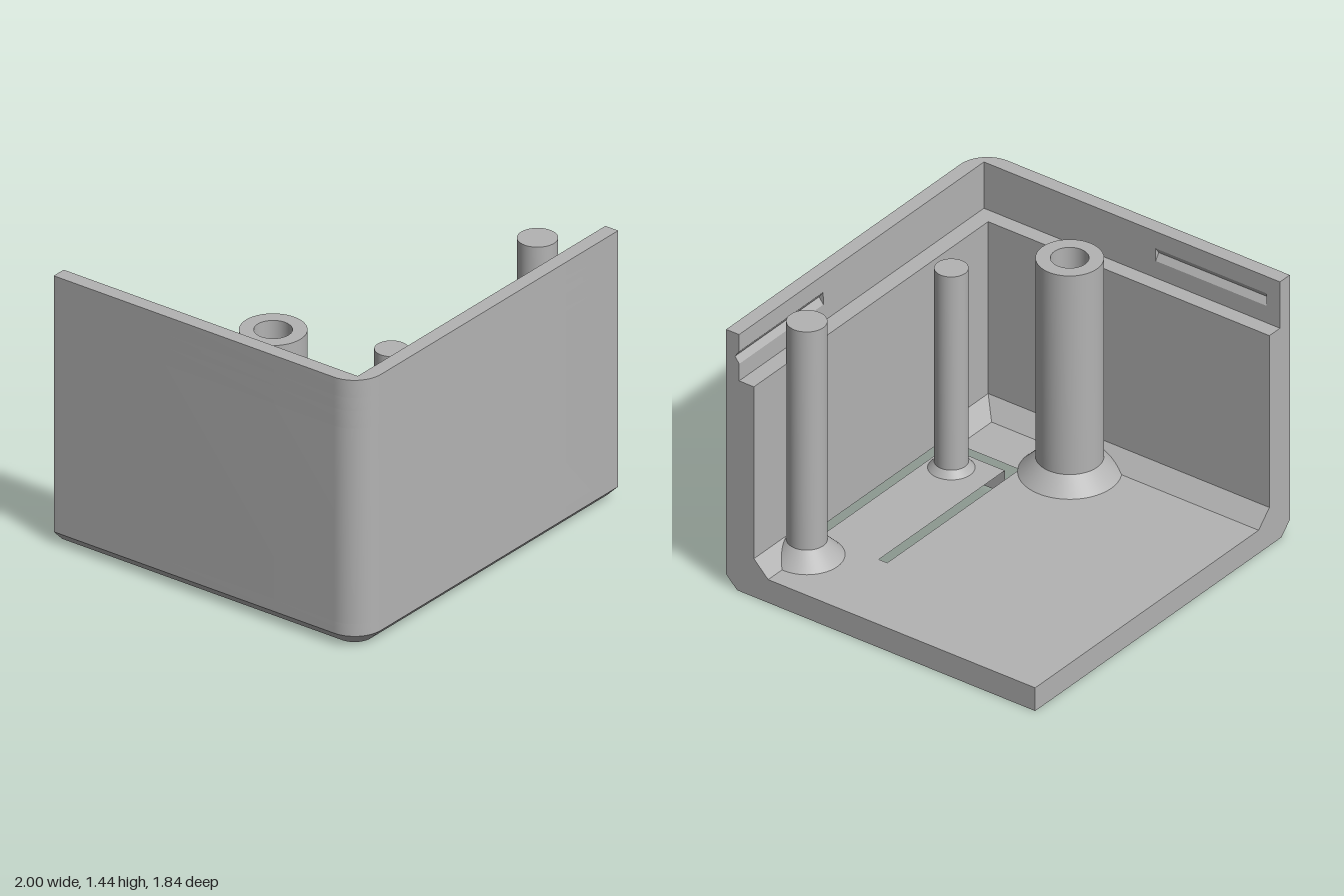
import * as THREE from 'three';
import { toCreasedNormals } from 'three/addons/utils/BufferGeometryUtils.js';

export function createModel() {
  const group = new THREE.Group();
  const grey = new THREE.MeshStandardMaterial({ color: 0xb3b3b3 });
  const FLOOR = 0.13, CHAMFER = 0.065, STEP = 1.18, TOP = 1.44, BACK = -0.92;
  const CX = -0.84, CZ = 0.76, R = 0.16; // centre and radius of the rounded corner

  const add = (name, geometry) => {
    const mesh = new THREE.Mesh(toCreasedNormals(geometry, 0.5), grey);
    mesh.name = name;
    group.add(mesh);
    return mesh;
  };

  // Extrudes a plan outline of [x, z] points from y0 to y1; rule may move vertices
  const plan = (pts) => pts.map(([x, z]) => new THREE.Vector2(x, -z));
  const slab = (pts, y0, y1, { holes = [], steps = 1, rule } = {}) => {
    const shape = new THREE.Shape(plan(pts));
    shape.holes = holes.map((h) => new THREE.Path(plan(h)));
    const g = new THREE.ExtrudeGeometry(shape, { depth: y1 - y0, steps, bevelEnabled: false });
    g.rotateX(-Math.PI / 2).translate(0, y0, 0);
    if (rule) {
      const p = g.attributes.position, v = new THREE.Vector3();
      for (let i = 0; i < p.count; i++) {
        rule(v.fromBufferAttribute(p, i));
        p.setXYZ(i, v.x, v.y, v.z);
      }
    }
    return g;
  };

  const circle = (cx, cz, r, n = 48) => Array.from({ length: n }, (_, i) => {
    const a = (i / n) * Math.PI * 2;
    return [cx + r * Math.cos(a), cz + r * Math.sin(a)];
  });

  // Outer edge along the front, round the corner and along the side
  const outer = [[1, 0.92]];
  for (let i = 0; i <= 14; i++) {
    const a = Math.PI / 2 + (i / 14) * Math.PI / 2;
    outer.push([CX + R * Math.cos(a), CZ + R * Math.sin(a)]);
  }
  outer.push([-1, BACK]);

  // Floor with spring tongue slot, screw hole and button hole; lower edge chamfered
  const slot = [[-0.5, 0.31], [0.54, 0.31], [0.54, 0.36], [-0.45, 0.36],
    [-0.45, 0.705], [0.54, 0.705], [0.54, 0.755], [-0.5, 0.755]];
  add('floor', slab([...outer, [1, BACK]], 0, FLOOR, {
    holes: [slot, circle(-0.63, 0.11, 0.092), circle(-0.32, 0.58, 0.072)],
    steps: 2,
    rule: (v) => {
      if (v.y > 0.001) return;
      const dx = Math.min(0, v.x - CX), dz = Math.max(0, v.z - CZ), d = Math.hypot(dx, dz);
      const k = d > R - CHAMFER ? (R - CHAMFER) / d : 1;
      v.x += dx * (k - 1);
      v.z += dz * (k - 1);
    },
  }));

  // Thick lower walls
  add('lowerWalls', slab([...outer, [-0.84, BACK], [-0.84, 0.755], [1, 0.755]], FLOOR, STEP));

  // Thin lip, with V-shaped snap grooves in its middle band
  const LX = -0.923, LZ = 0.843, G0 = 1.275, G1 = 1.345, DEEP = 0.024;
  const lip = [...outer, [LX, BACK], [LX, LZ], [1, LZ]];
  add('lipBottom', slab(lip, STEP, G0));
  add('lipTop', slab(lip, G1, TOP));
  const grooved = [...outer, [LX, BACK], [LX, -0.841], [LX, -0.84], [LX, -0.18], [LX, -0.179],
    [LX, LZ], [0.339, LZ], [0.34, LZ], [1, LZ]];
  add('lipGrooves', slab(grooved, G0, G1, {
    steps: 2,
    rule: (v) => {
      if (Math.abs(v.y - (G0 + G1) / 2) > 0.005) return;
      if (Math.abs(v.x - LX) < 1e-4 && v.z > -0.8405 && v.z < -0.1795) v.x -= DEEP;
      if (Math.abs(v.z - LZ) < 1e-4 && v.x > 0.3395) v.z += DEEP;
    },
  }));

  // Sloping fillets where the walls meet the floor
  const fillet = (length) => new THREE.ExtrudeGeometry(
    new THREE.Shape([[0, FLOOR], [0.085, FLOOR], [0, 0.215]].map((p) => new THREE.Vector2(...p))),
    { depth: length, bevelEnabled: false });
  add('sideFillet', fillet(0.755 - BACK).translate(-0.84, 0, BACK));
  for (const [x0, x1] of [[-0.84, -0.5], [0.54, 1]]) {
    add('frontFillet', fillet(x1 - x0).rotateY(Math.PI / 2).translate(x0, 0, 0.755));
  }

  // Turned pillars with flared feet
  const turned = (name, x, z, profile) => add(name,
    new THREE.LatheGeometry(profile.map((p) => new THREE.Vector2(...p)), 48)).position.set(x, 0, z);
  turned('screwBoss', -0.63, 0.11,
    [[0.248, FLOOR], [0.163, 0.215], [0.163, 1.33], [0.092, 1.33], [0.092, FLOOR]]);
  turned('cornerPost', 0.71, 0.66,
    [[0.182, FLOOR], [0.098, 0.215], [0.098, TOP], [0, TOP]]);
  turned('buttonPin', -0.32, 0.58,
    [[0, 0.2], [0.04, 0.2], [0.072, FLOOR], [0.113, FLOOR], [0.082, 0.165], [0.082, 1.25], [0, 1.25]]);

  return group;
}
